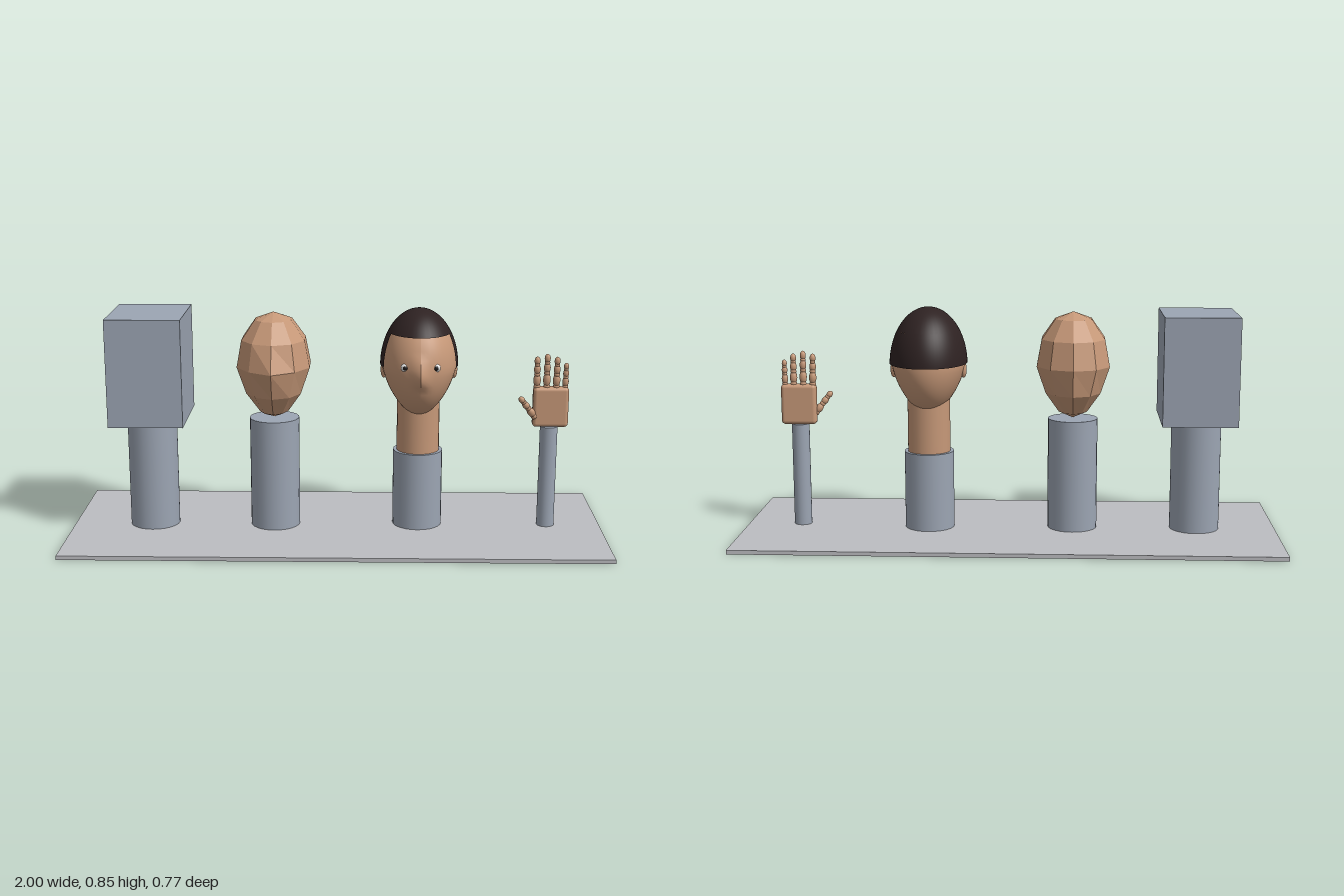
import * as THREE from 'three';
import { RoundedBoxGeometry } from 'three/addons/geometries/RoundedBoxGeometry.js';

const material = (name, color) => {
  const m = new THREE.MeshStandardMaterial({ color });
  m.name = name;
  return m;
};

export function createModel() {
  const root = new THREE.Group();
  const skin = material('skin', 0xc69878);
  const hairDark = material('dark hair', 0x2e2222);
  hairDark.side = THREE.DoubleSide;
  const steel = material('blue grey', 0x9ca5b3);
  const plinth = material('light grey', 0xbcbdc1);
  const white = material('eye white', 0xe8e8e8);
  const black = material('pupil black', 0x1a1718);

  const add = (parent, name, geometry, mat, x = 0, y = 0, z = 0) => {
    const mesh = new THREE.Mesh(geometry, mat);
    mesh.name = name;
    mesh.position.set(x, y, z);
    parent.add(mesh);
    return mesh;
  };
  const group = (name, x = 0, y = 0, z = 0) => {
    const g = new THREE.Group();
    g.name = name;
    g.position.set(x, y, z);
    root.add(g);
    return g;
  };
  const column = (parent, name, mat, r, y0, y1, x, z = 0) =>
    add(parent, name, new THREE.CylinderGeometry(r, r, y1 - y0, 24), mat, x, (y0 + y1) / 2, z);
  const ellipsoid = (rx, ry, rz, w = 16, h = 12) => new THREE.SphereGeometry(1, w, h).scale(rx, ry, rz);

  // Base plate and pedestals
  add(root, 'basePlate', new THREE.BoxGeometry(2, 0.015, 0.77), plinth, 0, 0.0075, 0);
  column(root, 'boxPedestal', steel, 0.093, 0.015, 0.434, -0.697);
  column(root, 'facetedHeadPedestal', steel, 0.093, 0.015, 0.434, -0.235);
  column(root, 'headPedestal', steel, 0.093, 0.015, 0.308, 0.305, -0.015);
  column(root, 'handPedestal', steel, 0.033, 0.015, 0.404, 0.795);

  // Block stage
  add(root, 'blockHead', new THREE.BoxGeometry(0.275, 0.399, 0.34), steel, -0.697, 0.6325, 0);

  // Egg-shaped head: narrowed jaw and a ridge for the nose
  const headGeometry = (w, h, rx, lower, noseDepth) => {
    const geo = new THREE.SphereGeometry(1, w, h).rotateY(Math.PI / 2);
    const p = geo.attributes.position;
    for (let i = 0; i < p.count; i++) {
      const down = Math.max(0, -p.getY(i));
      const x = p.getX(i) * rx * (1 - 0.26 * down);
      const y = p.getY(i) * (p.getY(i) < 0 ? lower : 0.2);
      let z = p.getZ(i) * 0.17;
      if (z > 0) {
        const across = Math.max(0, 1 - Math.abs(x) / 0.04);
        const along = y > 0 ? Math.max(0, 1 - y / 0.07) : y > -0.027 ? 1 : Math.max(0, 1 - (-0.027 - y) / 0.035);
        z += noseDepth * across * along;
      }
      p.setXYZ(i, x, y, z);
    }
    return geo;
  };

  // Faceted head
  const faceted = headGeometry(10, 6, 0.142, 0.199, 0.022).toNonIndexed();
  faceted.computeVertexNormals();
  add(root, 'facetedHead', faceted, skin, -0.235, 0.635, 0);

  // Finished head
  const head = group('finishedHead', 0.305, 0.635, 0);
  const smooth = headGeometry(48, 36, 0.1375, 0.185, 0.025);
  smooth.computeVertexNormals();
  add(head, 'face', smooth, skin);
  column(head, 'neck', skin, 0.08, -0.328, -0.12, 0, -0.015);
  for (const s of [-1, 1]) {
    add(head, 'ear', ellipsoid(0.012, 0.032, 0.02), skin, s * 0.131, -0.018, -0.01);
    add(head, 'eyeball', ellipsoid(0.016, 0.016, 0.012), white, s * 0.056, 0.022, 0.146);
    add(head, 'pupil', ellipsoid(0.008, 0.008, 0.004), black, s * 0.056, 0.022, 0.157);
  }

  // Hair: a crown cap plus a lower shell open at the face
  const fringe = Math.acos(0.6);
  const opening = THREE.MathUtils.degToRad(66);
  const hairShell = (phi0, phiLen, th0, thLen) =>
    new THREE.SphereGeometry(1, 40, 16, phi0, phiLen, th0, thLen).scale(0.145, 0.215, 0.182);
  add(head, 'hairCrown', hairShell(0, Math.PI * 2, 0, fringe), hairDark, 0, 0, -0.004);
  add(head, 'hairBack', hairShell(Math.PI / 2 + opening, 2 * (Math.PI - opening), fringe, Math.PI / 2 + 0.03 - fringe - 0.06),
    hairDark, 0, 0, -0.004);

  // Hand: rounded palm and beaded fingers
  const hand = group('hand');
  add(hand, 'palm', new RoundedBoxGeometry(0.133, 0.152, 0.042, 4, 0.014), skin, 0.798, 0.479, 0);
  const finger = (name, from, to, r) => {
    const dir = to.clone().sub(from);
    const len = dir.length();
    const turn = new THREE.Quaternion().setFromUnitVectors(new THREE.Vector3(0, 1, 0), dir.clone().normalize());
    const cuts = [0, 0.42, 0.74, 1];
    for (let i = 0; i < 3; i++) {
      const taper = r * (1 - 0.1 * i);
      const mid = from.clone().addScaledVector(dir, (cuts[i] + cuts[i + 1]) / 2);
      const half = (cuts[i + 1] - cuts[i]) * len * 0.5 + 0.002;
      add(hand, name + 'Segment', ellipsoid(taper, half, taper), skin, mid.x, mid.y, mid.z).quaternion.copy(turn);
      const joint = from.clone().addScaledVector(dir, cuts[i]);
      add(hand, name + 'Joint', ellipsoid(taper * 0.9, taper * 0.9, taper * 0.9), skin, joint.x, joint.y, joint.z);
    }
  };
  const fingers = [['index', 0.745, 0.668], ['middle', 0.781, 0.679], ['ring', 0.817, 0.668], ['little', 0.85, 0.645]];
  fingers.forEach(([name, x, top], i) => finger(name + 'Finger',
    new THREE.Vector3(x, 0.556, 0), new THREE.Vector3(x + (x - 0.798) * 0.03, top, 0.004), i === 3 ? 0.012 : 0.014));
  finger('thumb', new THREE.Vector3(0.737, 0.445, 0.012), new THREE.Vector3(0.68, 0.521, 0.032), 0.014);

  return root;
}
